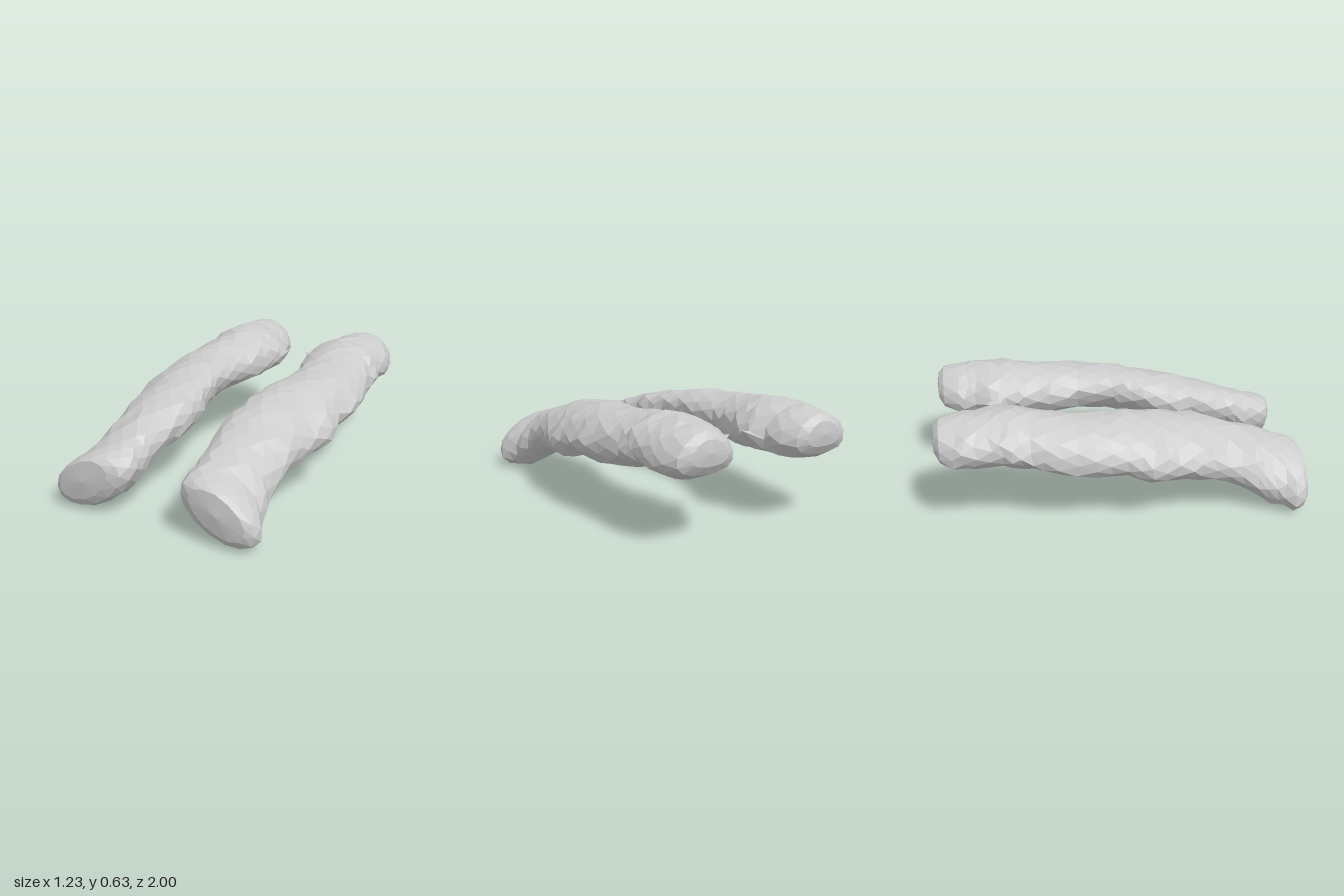
import * as THREE from 'three';

// Cross-sections from back to front: z, inner x, outer x, bottom y, top y, tilt
const SECTIONS = [
  [-0.99, 0.24, 0.45, 0.43, 0.56, 0],
  [-0.96, 0.19, 0.51, 0.385, 0.595, 0],
  [-0.88, 0.15, 0.545, 0.35, 0.61, 0],
  [-0.78, 0.125, 0.565, 0.35, 0.615, 0.03],
  [-0.70, 0.09, 0.565, 0.35, 0.62, 0.05],
  [-0.60, 0.10, 0.57, 0.345, 0.62, 0],
  [-0.50, 0.12, 0.565, 0.32, 0.605, -0.05],
  [-0.35, 0.155, 0.60, 0.295, 0.58, -0.1],
  [-0.18, 0.18, 0.615, 0.29, 0.565, -0.2],
  [0.00, 0.17, 0.595, 0.275, 0.56, -0.3],
  [0.13, 0.145, 0.615, 0.235, 0.54, -0.35],
  [0.26, 0.12, 0.575, 0.21, 0.515, -0.3],
  [0.40, 0.105, 0.55, 0.19, 0.49, -0.25],
  [0.55, 0.12, 0.535, 0.17, 0.445, -0.3],
  [0.70, 0.145, 0.53, 0.09, 0.40, -0.38],
  [0.81, 0.15, 0.555, 0.02, 0.36, -0.42],
  [0.91, 0.155, 0.60, 0.00, 0.335, -0.45],
  [0.96, 0.18, 0.59, 0.02, 0.32, -0.48],
  [0.985, 0.24, 0.55, 0.06, 0.30, -0.5],
];
const SIDES = 14;

function seeded(seed) {
  return () => {
    seed = (seed * 16807) % 2147483647;
    return seed / 2147483647 - 0.5;
  };
}

// One lumpy strip; side = 1 is the model's left, -1 its mirrored partner
function makeStrip(side, seed) {
  const rnd = seeded(seed);

  // Halfway sections double the facet density
  const rings = [];
  SECTIONS.forEach((s, i) => {
    rings.push(s);
    const n = SECTIONS[i + 1];
    if (n && n[0] - s[0] > 0.085) rings.push(s.map((v, k) => (v + n[k]) / 2));
  });

  const pos = [], idx = [];
  const tri = (a, b, c) => (side > 0 ? idx.push(a, b, c) : idx.push(a, c, b));

  rings.forEach(([z, x0, x1, y0, y1, tilt], i) => {
    const body = i > 1 && i < rings.length - 3;
    const twist = (i % 2) * Math.PI / SIDES;
    const arch = 0.3 * Math.max(0, -z); // the back droops at both edges
    for (let j = 0; j < SIDES; j++) {
      const t = (j / SIDES) * Math.PI * 2 + twist;
      const swell = 1 + rnd() * (body ? 0.09 : 0.03);
      let x = (x0 + x1) / 2 + Math.cos(t) * swell * (x1 - x0) / 2;
      let y = (y0 + y1) / 2 + (Math.sin(t + tilt) * swell - arch * Math.cos(t) ** 2) * (y1 - y0) / 2;
      const dz = body ? rnd() * 0.035 : 0;
      // Small torn flap on the inner edge near the back
      if (z === -0.70 && j === SIDES / 2) {
        x = side > 0 ? 0.035 : 0.06;
        y = 0.485;
      }
      pos.push(side * x, Math.max(y, 0), z + dz);
    }
  });

  // Skin between neighbouring rings
  for (let i = 0; i < rings.length - 1; i++) {
    for (let j = 0; j < SIDES; j++) {
      const k = (j + 1) % SIDES;
      const a = i * SIDES + j, b = i * SIDES + k;
      const d = a + SIDES, c = b + SIDES;
      if (i % 2) { tri(a, b, c); tri(a, c, d); }
      else { tri(a, b, d); tri(b, c, d); }
    }
  }

  // Blunt ends
  [[rings[0], -1, 0], [rings[rings.length - 1], 1, (rings.length - 1) * SIDES]].forEach(([r, z, start]) => {
    const mid = pos.length / 3;
    pos.push(side * (r[1] + r[2]) / 2, (r[3] + r[4]) / 2, z);
    for (let j = 0; j < SIDES; j++) {
      const a = start + j, b = start + (j + 1) % SIDES;
      if (z > 0) tri(mid, a, b);
      else tri(mid, b, a);
    }
  });

  const geo = new THREE.BufferGeometry();
  geo.setAttribute('position', new THREE.Float32BufferAttribute(pos, 3));
  geo.setIndex(idx);
  const flat = geo.toNonIndexed();
  flat.computeVertexNormals();
  return flat;
}

export function createModel() {
  const group = new THREE.Group();
  const material = new THREE.MeshStandardMaterial({ color: 0xcccccc, flatShading: true });
  [['leftStrip', 1, 1234], ['rightStrip', -1, 98765]].forEach(([name, side, seed]) => {
    const mesh = new THREE.Mesh(makeStrip(side, seed), material);
    mesh.name = name;
    group.add(mesh);
  });
  return group;
}
